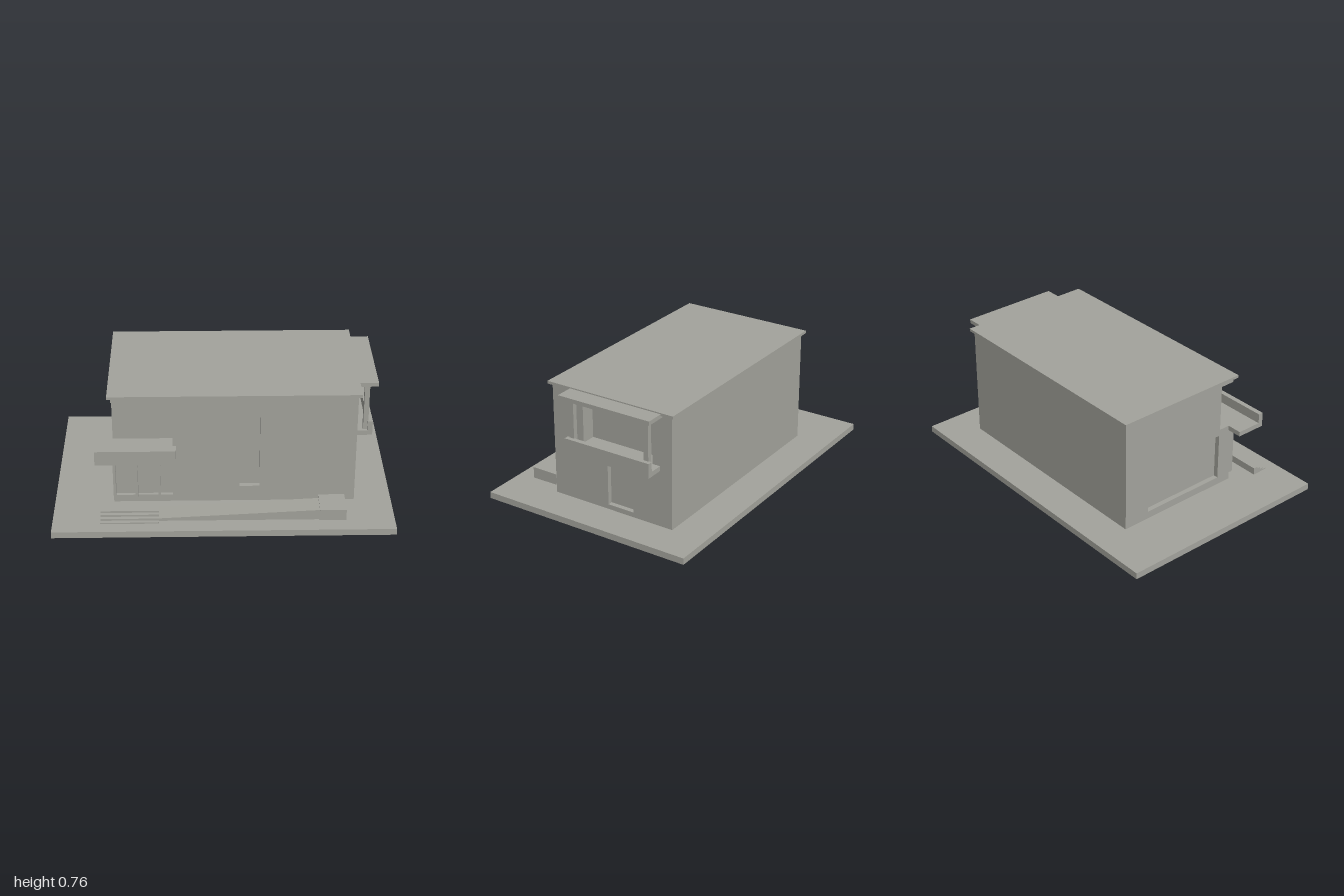
import * as THREE from 'three';

export function createModel() {
  const model = new THREE.Group();
  model.name = 'house';
  const concrete = new THREE.MeshStandardMaterial({ color: 0xa3a39c });
  concrete.name = 'concreteGrey';

  const add = (name, geometry) => {
    const mesh = new THREE.Mesh(geometry, concrete);
    mesh.name = name;
    model.add(mesh);
    return mesh;
  };
  // Box given by its limits on each axis
  const box = (name, [x0, x1], [y0, y1], [z0, z1]) =>
    add(name, new THREE.BoxGeometry(x1 - x0, y1 - y0, z1 - z0))
      .position.set((x0 + x1) / 2, (y0 + y1) / 2, (z0 + z1) / 2);
  const points = (list) => list.map(([x, y]) => new THREE.Vector2(x, y));
  const rect = (a, b, c, d) => [[a, c], [b, c], [b, d], [a, d]];
  // Wall of depth T with rectangular openings
  const T = 0.09;
  const wall = (name, outline, holes, depth = T) => {
    const shape = new THREE.Shape(points(outline));
    holes.forEach((h) => shape.holes.push(new THREE.Path(points(h))));
    return add(name, new THREE.ExtrudeGeometry(shape, { depth, bevelEnabled: false }));
  };

  const L = -0.65, R = 0.78, B = -0.46, F = 0.355, G = 0.04, H = 0.74;

  // Ground slab, inner volume and roof
  box('groundSlab', [-1, 1], [0, G], [-0.68, 0.68]);
  box('houseCore', [L + T, R - T], [G, H], [B, F - T]);
  box('mainRoof', [-0.67, 0.8], [H, 0.757], [-0.48, 0.375]);

  // Front wall, cut away at the upper left corner for the loggia
  wall('frontWall',
    [[L, G], [R, G], [R, H], [L, H], [L, 0.71], [-0.295, 0.71], [-0.295, 0.42], [L, 0.42]],
    [rect(0.095, 0.215, 0.14, 0.67), rect(-0.635, -0.3, 0.085, 0.378)],
  ).position.z = F - T;
  box('tallWindow', [0.095, 0.215], [0.14, 0.67], [F - T, F - 0.03]);
  box('entranceGlazing', [-0.635, -0.3], [0.085, 0.378], [F - T, F - 0.02]);

  // Side walls, drawn with -z running along the shape's x axis
  const right = wall('rightWall', rect(-F + T, -B, G, H),
    [rect(-0.145, 0.33, 0.42, 0.71), rect(0.02, 0.195, 0.07, 0.325)]);
  right.rotation.y = Math.PI / 2;
  right.position.x = R - T;
  box('rightWindow', [R - T, R - 0.03], [0.07, 0.325], [-0.195, -0.02]);

  const left = wall('leftWall', rect(-F + T, -B, G, H), [rect(-0.26, 0.29, 0.087, 0.38)]);
  left.rotation.y = Math.PI / 2;
  left.position.x = L;
  box('leftWindow', [L + 0.03, L + T], [0.087, 0.38], [-0.29, 0.26]);

  // Entrance posts
  for (const x of [-0.65, -0.52, -0.385]) {
    box('entrancePost', [x, x + 0.015], [0.083, 0.377], [F - 0.02, 0.38]);
  }

  // Front balcony
  box('frontBalconyFloor', [-0.743, -0.277], [0.39, 0.42], [0.335, 0.49]);
  box('frontBalconyParapet', [-0.743, -0.277], [0.39, 0.48], [0.49, 0.52]);

  // Side balcony with columns and canopy
  box('sideBalconyFloor', [R, 0.86], [0.39, 0.42], [-0.38, 0.195]);
  box('sideBalconyParapet', [0.86, 0.89], [0.39, 0.48], [-0.38, 0.195]);
  for (const z of [-0.345, 0.163]) {
    box('balconyColumn', [0.835, 0.865], [0.42, 0.725], [z - 0.016, z + 0.016]);
  }
  box('balconyCanopy', [R, 0.91], [0.725, 0.75], [-0.4, 0.215]);

  // Entrance steps
  for (let i = 0; i < 4; i++) {
    box('entranceStep', [-0.72, -0.38], [G, 0.084 - i * 0.012], [0.5, 0.53 + i * 0.023]);
  }

  // Sloping ramp and end block
  wall('ramp', [[-0.38, G], [0.56, G], [0.56, 0.104], [-0.38, 0.057]], [], 0.13)
    .position.z = 0.44;
  box('rampEndBlock', [0.56, 0.715], [G, 0.11], [0.41, 0.58]);

  return model;
}
